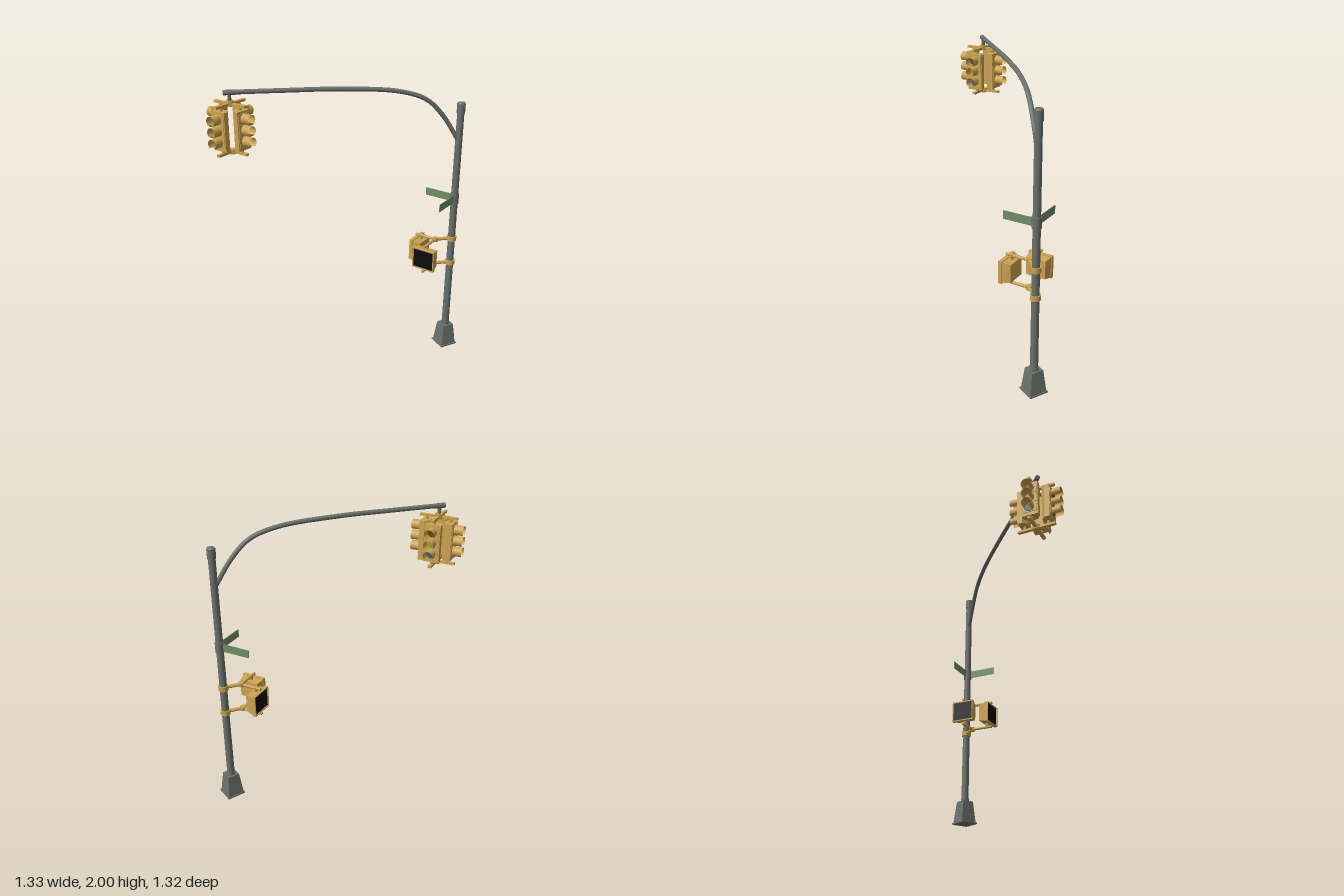
import * as THREE from 'three';

const mat = (color, side = THREE.FrontSide) => new THREE.MeshStandardMaterial({ color, side });
const steel = mat(0x6a716b), amber = mat(0xcca352), amberThin = mat(0xcca352, THREE.DoubleSide);
const green = mat(0x6f8f66), black = mat(0x0c0c0c);
const lensMats = [mat(0x7a3320), mat(0xa39a35), mat(0x40646a)];

const POLE = [0.574, -0.574];   // pole axis x, z
const HEADS = [-0.493, 0.478];  // signal cluster axis x, z

function add(parent, name, geo, material, x = 0, y = 0, z = 0) {
  const mesh = new THREE.Mesh(geo, material);
  mesh.name = name;
  mesh.position.set(x, y, z);
  parent.add(mesh);
  return mesh;
}
function group(parent, name, x = 0, y = 0, z = 0, turn = 0) {
  const g = new THREE.Group();
  g.name = name;
  g.position.set(x, y, z);
  g.rotation.y = turn;
  parent.add(g);
  return g;
}
const box = (w, h, d) => new THREE.BoxGeometry(w, h, d);
const cyl = (r, h, n = 16, rTop = r) => new THREE.CylinderGeometry(rTop, r, h, n);
const frustum = (s, sTop, h) => cyl(s / Math.SQRT2, h, 4, sTop / Math.SQRT2).rotateY(Math.PI / 4).toNonIndexed();

// round bar between two points
function rod(parent, name, a, b, r, material) {
  const A = new THREE.Vector3(...a), B = new THREE.Vector3(...b), d = B.clone().sub(A);
  const m = add(parent, name, cyl(r, d.length(), 10), material);
  m.position.copy(A).add(B).multiplyScalar(0.5);
  m.quaternion.setFromUnitVectors(new THREE.Vector3(0, 1, 0), d.normalize());
}

// outline in plan (x, distance outward), raised to a height centred on y = 0
function prism(points, h) {
  const shape = new THREE.Shape(points.map(([x, z]) => new THREE.Vector2(x, -z)));
  return new THREE.ExtrudeGeometry(shape, { depth: h, bevelEnabled: false }).rotateX(-Math.PI / 2).translate(0, -h / 2, 0);
}

// one three-lamp head, facing +z, at a distance from the cluster axis
function signalHead(parent, turn) {
  const g = group(parent, 'signalHead', 0, 0, 0, turn);
  const plan = [[-0.028, 0.05], [0.028, 0.05], [0.055, 0.078], [0.055, 0.112], [-0.055, 0.112], [-0.055, 0.078]];
  add(g, 'housing', prism(plan, 0.252), amber, 0, 1.758, 0);
  const gap = 1.3;
  lensMats.forEach((lensMat, i) => {
    const y = 1.836 - i * 0.073;
    add(g, 'lampDoor', box(0.096, 0.068, 0.006), amber, 0, y, 0.113);
    add(g, 'lens', cyl(0.031, 0.006, 18).rotateX(Math.PI / 2), lensMat, 0, y, 0.117);
    const visor = new THREE.CylinderGeometry(0.033, 0.033, 0.065, 16, 1, true, gap / 2, Math.PI * 2 - gap);
    add(g, 'visor', visor.rotateX(Math.PI / 2), amberThin, 0, y, 0.146);
  });
  for (const y of [1.911, 1.603]) {
    add(g, 'bracketBar', box(0.022, 0.016, 0.13), amber, 0, y, 0.065);
    add(g, 'bracketPost', cyl(0.011, 0.03, 10), amber, 0, y + (y > 1.7 ? -0.018 : 0.018), 0.082);
  }
}

// crossing signal facing +z, with its back tapered inward
function crossingSignal(parent, x, z, turn) {
  const g = group(parent, 'crossingSignal', x, 0.785, z, turn);
  const back = frustum(1, 0.86, 0.055);
  back.rotateX(-Math.PI / 2).scale(0.158, 0.142, 1);
  back.computeVertexNormals();
  add(g, 'housing', back, amber, 0, 0, -0.012);
  const frame = new THREE.Shape();
  const rect = (path, w, h) => path.moveTo(-w, -h).lineTo(w, -h).lineTo(w, h).lineTo(-w, h).closePath();
  rect(frame, 0.083, 0.076);
  frame.holes.push(rect(new THREE.Path(), 0.076, 0.068));
  add(g, 'frame', new THREE.ExtrudeGeometry(frame, { depth: 0.026, bevelEnabled: false }), amber, 0, 0, 0.014);
  add(g, 'screen', box(0.154, 0.138, 0.006), black, 0, 0, 0.03);
  // mounting posts and end bars above and below
  for (const s of [1, -1]) {
    add(g, 'mountPost', cyl(0.012, 0.036, 10), amber, 0, s * 0.083, -0.006);
  }
}

export function createModel() {
  const model = new THREE.Group();
  model.name = 'trafficSignalPole';
  const [px, pz] = POLE;

  // footing
  const base = group(model, 'base', px, 0, pz, -0.48);
  add(base, 'basePlate', box(0.132, 0.01, 0.132), steel, 0, 0.005, 0);
  const foot = frustum(0.118, 0.084, 0.157);
  foot.computeVertexNormals();
  add(base, 'baseShroud', foot, steel, 0, 0.0865, 0);
  add(base, 'baseCollar', cyl(0.03, 0.024), steel, 0, 0.175, 0);

  // upright and cap
  add(model, 'pole', cyl(0.0265, 1.7, 16, 0.0235), steel, px, 0.95, pz);
  add(model, 'poleCap', cyl(0.028, 0.064), steel, px, 1.822, pz);
  add(model, 'poleCapTop', cyl(0.028, 0.008, 16, 0.022), steel, px, 1.858, pz);

  // curved mast arm, each point given as x and height
  const t = (x) => (px - x) / (px - HEADS[0]);
  const pts = [[0.572, 1.6], [0.487, 1.78], [0.405, 1.89], [0.275, 1.95], [0, 1.979], [-0.25, 1.983], [-0.515, 1.984]]
    .map(([x, y]) => new THREE.Vector3(x, y, pz + (HEADS[1] - pz) * t(x)));
  add(model, 'mastArm', new THREE.TubeGeometry(new THREE.CatmullRomCurve3(pts), 48, 0.015, 12), steel);
  rod(model, 'armTip', [-0.465, 1.983, 0.451], [-0.52, 1.983, 0.505], 0.0168, steel);

  // four-way signal cluster
  const cluster = group(model, 'signalCluster', HEADS[0], 0, HEADS[1]);
  add(cluster, 'hanger', cyl(0.012, 0.08, 12), steel, 0, 1.95, 0);
  add(cluster, 'topHub', cyl(0.027, 0.034, 12), amber, 0, 1.915, 0);
  add(cluster, 'bottomHub', cyl(0.027, 0.03, 12), amber, 0, 1.603, 0);
  for (let i = 0; i < 4; i++) signalHead(cluster, i * Math.PI / 2);

  // street sign blades
  add(model, 'signCollar', cyl(0.03, 0.072), steel, px, 1.184, pz);
  add(model, 'signBlade', box(0.21, 0.054, 0.005), green, 0.455, 1.184, pz);
  add(model, 'signBlade', box(0.005, 0.054, 0.21), green, 0.58, 1.184, -0.455);

  // crossing signals and their pole brackets
  crossingSignal(model, 0.372, -0.483, -Math.PI / 2);
  crossingSignal(model, 0.495, -0.352, 0);
  for (const y of [0.878, 0.688]) {
    const b = group(model, 'crossingBracket');
    add(b, 'poleClamp', cyl(0.034, 0.034), amber, px, y, pz);
    rod(b, 'clampArm', [px, y, pz], [0.493, y, -0.483], 0.012, amber);
    rod(b, 'sideArm', [0.493, y, -0.483], [0.338, y, -0.483], 0.01, amber);
    rod(b, 'frontArm', [0.493, y, -0.483], [0.493, y, -0.318], 0.01, amber);
    add(b, 'armJoint', cyl(0.02, 0.028, 12), amber, 0.493, y, -0.483);
  }
  return model;
}
